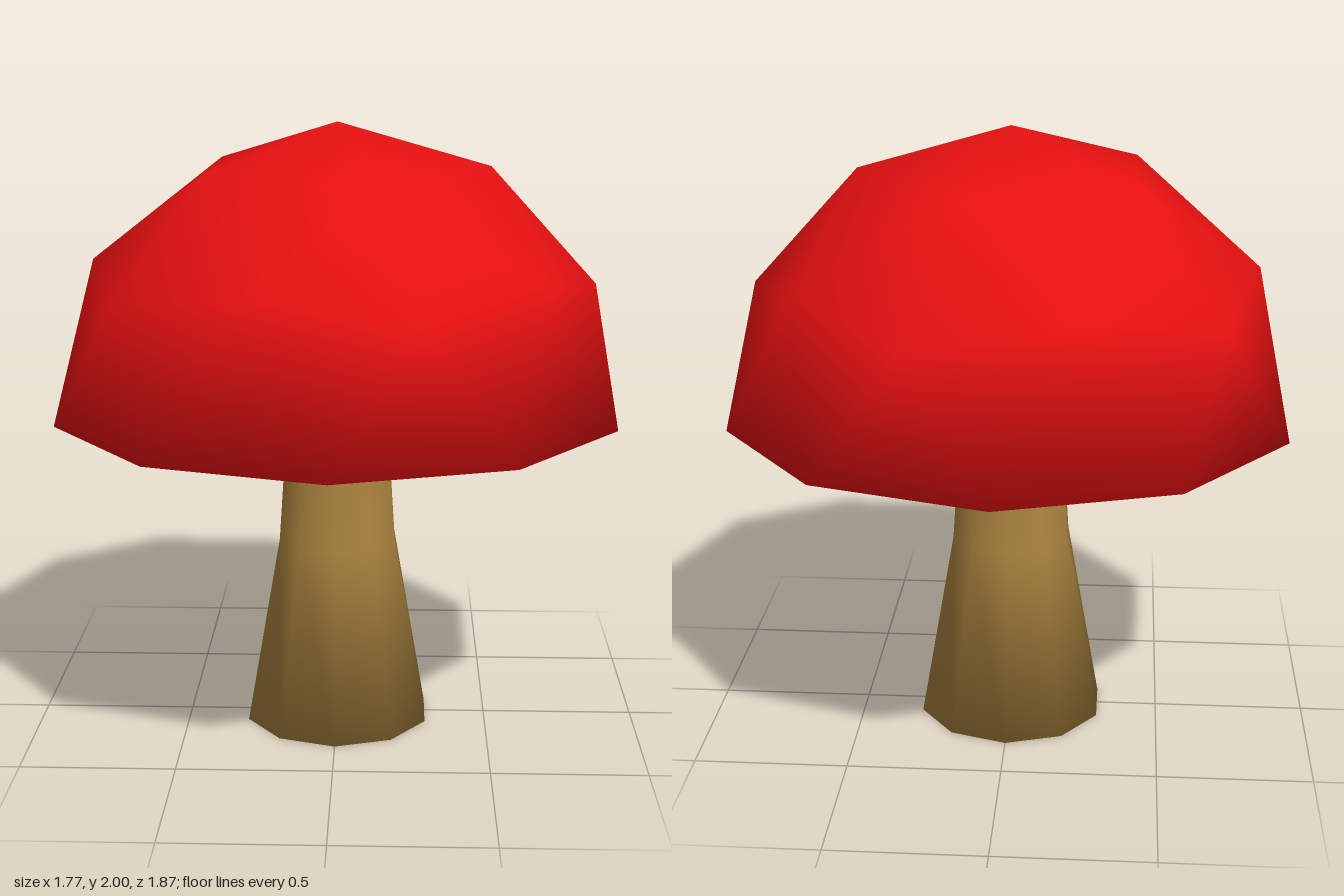
import * as THREE from 'three';

const SIDES = 10;
const STEP = (Math.PI * 2) / SIDES;

// Ring of points around the y axis; profile(k) gives [radius, height]
function ring(count, start, profile) {
  return Array.from({ length: count }, (_, k) => {
    const a = start + (k * Math.PI * 2) / count;
    const [r, y] = profile(k);
    return new THREE.Vector3(r * Math.cos(a), y, -r * Math.sin(a));
  });
}

// Smooth geometry from triangles of shared points, normals weighted by corner angle
function smoothGeometry(triangles) {
  const points = [...new Set(triangles.flat())];
  const normals = new Map(points.map((p) => [p, new THREE.Vector3()]));
  for (const t of triangles) {
    const face = new THREE.Triangle(...t).getNormal(new THREE.Vector3());
    t.forEach((p, i) => {
      const u = t[(i + 1) % 3].clone().sub(p);
      const v = t[(i + 2) % 3].clone().sub(p);
      normals.get(p).addScaledVector(face, u.angleTo(v));
    });
  }
  const index = new Map(points.map((p, i) => [p, i]));
  const geometry = new THREE.BufferGeometry().setFromPoints(points);
  const flat = points.flatMap((p) => normals.get(p).normalize().toArray());
  geometry.setAttribute('normal', new THREE.Float32BufferAttribute(flat, 3));
  geometry.setIndex(triangles.flat().map((p) => index.get(p)));
  return geometry;
}

// Band of quads between two rings of equal count, upper ring first
function band(upper, lower) {
  return upper.flatMap((p, k) => {
    const n = (k + 1) % upper.length;
    return [[p, lower[k], lower[n]], [p, lower[n], upper[n]]];
  });
}

// Faceted dome with a flat turned-in rim
function capGeometry(R, baseY, innerR) {
  const top = new THREE.Vector3(0, baseY + R, 0);
  const crown = ring(5, 0, () => [R * 0.5257, baseY + R * 0.8507]);
  const shoulder = ring(SIDES, 0, (k) =>
    k % 2 ? [R * 0.8507, baseY + R * 0.5257] : [R * 0.8944, baseY + R * 0.4472]);
  const rim = ring(SIDES, STEP / 2, () => [R, baseY]);
  const inner = ring(SIDES, STEP / 2, () => [innerR, baseY]);
  const tris = band(rim, inner);
  for (let j = 0; j < 5; j++) {
    const a = crown[j], b = crown[(j + 1) % 5];
    const before = shoulder[(2 * j + 9) % SIDES], mid = shoulder[2 * j], after = shoulder[2 * j + 1];
    tris.push([top, a, b], [a, before, mid], [a, mid, after], [a, after, b]);
  }
  for (let k = 0; k < SIDES; k++) {
    const n = (k + 1) % SIDES;
    tris.push([shoulder[k], rim[k], shoulder[n]], [rim[k], rim[n], shoulder[n]]);
  }
  return smoothGeometry(tris);
}

// Flared stem with a closed foot
function stemGeometry(profile) {
  const rings = profile.map((p) => ring(SIDES, STEP / 2, () => p));
  const tris = rings.slice(1).flatMap((lower, i) => band(rings[i], lower));
  const foot = rings[rings.length - 1];
  for (let k = 1; k < SIDES - 1; k++) tris.push([foot[0], foot[k + 1], foot[k]]);
  return smoothGeometry(tris);
}

export function createModel() {
  const red = new THREE.MeshStandardMaterial({ color: 0xe81010 });
  red.name = 'cap red';
  const brown = new THREE.MeshStandardMaterial({ color: 0xaa833e });
  brown.name = 'stem brown';

  const model = new THREE.Group();
  model.name = 'mushroom';
  const add = (name, geometry, material) => {
    const mesh = new THREE.Mesh(geometry, material);
    mesh.name = name;
    model.add(mesh);
    return mesh;
  };

  const baseY = 1.067, innerR = 0.655;
  add('cap', capGeometry(0.933, baseY, innerR), red);

  // Flat underside disc
  const disc = new THREE.CircleGeometry(innerR, SIDES, STEP / 2).rotateX(Math.PI / 2);
  add('gills', disc, brown).position.y = baseY;

  add('stem', stemGeometry([[0.17, baseY], [0.2, 0.63], [0.313, 0]]), brown);
  return model;
}
